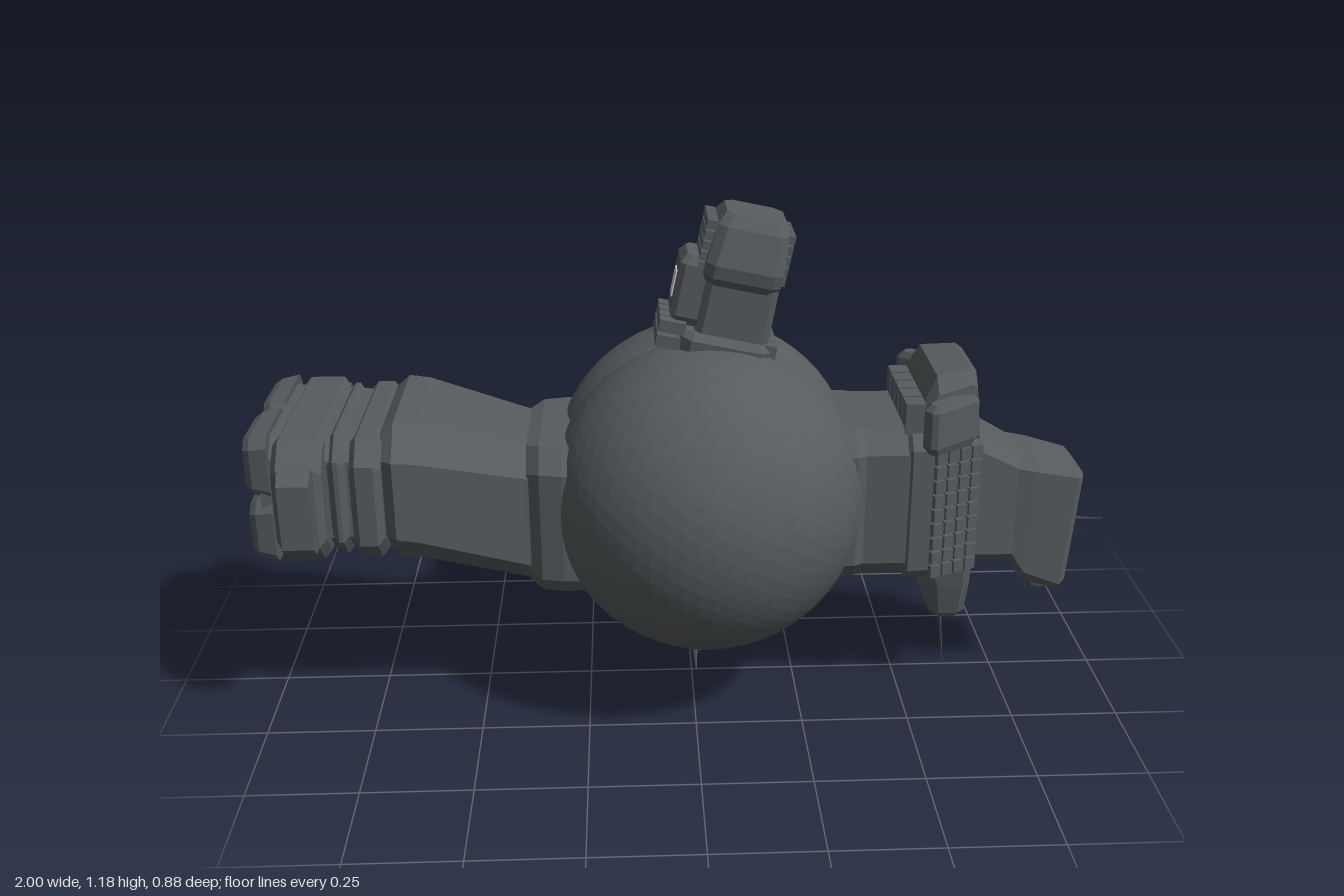
import * as THREE from 'three';

const paint = (color) => new THREE.MeshStandardMaterial({ color, flatShading: true, side: THREE.DoubleSide });
const hull = paint(0x565b5e), dark = paint(0x45494c), pale = paint(0xd0c8c8);

// Loft of chamfered rectangles. Row: [position, low, high, halfWidth, chamfer, shear].
// axis 'x' runs along x (low/high in y); axis 'y' runs upward (low/high in x).
function loft(axis, rows, z0 = 0) {
  const rings = rows.map(([p, lo, hi, w, c = 0.03, s = 0]) => {
    const pts = [[lo, -w + c], [lo + c, -w], [hi - c, -w], [hi, -w + c], [hi, w - c], [hi - c, w], [lo + c, w], [lo, w - c]];
    return pts.map(([a, b]) => {
      const q = p + s * (a - (lo + hi) / 2);
      return axis === 'x' ? [q, a, z0 + b] : [a, q, z0 + b];
    });
  });
  const out = [];
  const tri = (a, b, c) => (axis === 'x' ? out.push(...a, ...c, ...b) : out.push(...a, ...b, ...c));
  for (let i = 0; i < rings.length - 1; i++) {
    for (let j = 0; j < 8; j++) {
      const k = (j + 1) % 8, A = rings[i], B = rings[i + 1];
      tri(A[j], B[j], B[k]);
      tri(A[j], B[k], A[k]);
    }
  }
  const last = rings[rings.length - 1];
  for (let j = 1; j < 7; j++) {
    tri(rings[0][0], rings[0][j], rings[0][j + 1]);
    tri(last[0], last[j + 1], last[j]);
  }
  const g = new THREE.BufferGeometry();
  g.setAttribute('position', new THREE.Float32BufferAttribute(out, 3));
  g.computeVertexNormals();
  return g;
}

function add(parent, name, geometry, material = hull) {
  const m = new THREE.Mesh(geometry, material);
  m.name = name;
  parent.add(m);
  return m;
}

function box(parent, name, size, pos, material = hull) {
  const m = add(parent, name, new THREE.BoxGeometry(...size), material);
  m.position.set(...pos);
  return m;
}

// Thin tapering rod between two points
function spike(parent, name, from, to, r) {
  const a = new THREE.Vector3(...from), d = new THREE.Vector3(...to).sub(a);
  const m = add(parent, name, new THREE.CylinderGeometry(r * 0.2, r, d.length(), 6), dark);
  m.position.copy(a).addScaledVector(d, 0.5);
  m.quaternion.setFromUnitVectors(new THREE.Vector3(0, 1, 0), d.normalize());
}

// Raised tiles in a grid, facing local +z
function tiles(name, cols, rows, w, h, depth) {
  const g = new THREE.Group();
  g.name = name;
  for (let i = 0; i < cols; i++) for (let j = 0; j < rows; j++) {
    box(g, 'tile', [w / cols * 0.85, h / rows * 0.85, depth],
      [(i + 0.5) * w / cols - w / 2, (j + 0.5) * h / rows - h / 2, 0]);
  }
  return g;
}

export function createModel() {
  const model = new THREE.Group();
  model.name = 'spaceship';

  // Two overlapping balls with a faint seam between them
  for (const s of [-1, 1]) {
    const ball = add(model, 'mainSphere', new THREE.IcosahedronGeometry(0.361, 10));
    ball.position.set(0.033, 0.515, s * 0.08);
  }

  // Rear hull
  const rear = new THREE.Group();
  rear.name = 'rearHull';
  model.add(rear);
  add(rear, 'rearCollar', loft('x', [[-0.38, 0.32, 0.66, 0.17, 0.05], [-0.35, 0.31, 0.67, 0.2, 0.05],
    [-0.3, 0.31, 0.67, 0.212, 0.05], [-0.2, 0.31, 0.67, 0.21, 0.05]]));
  add(rear, 'rearBody', loft('x', [[-0.7, 0.43, 0.71, 0.2, 0.05], [-0.67, 0.41, 0.735, 0.228, 0.07], [-0.62, 0.4, 0.73, 0.222, 0.07],
    [-0.38, 0.325, 0.66, 0.175, 0.06], [-0.2, 0.33, 0.66, 0.17, 0.06]]));
  add(rear, 'engineBlock', loft('x', [[-0.965, 0.43, 0.715, 0.205, 0.04], [-0.68, 0.43, 0.7, 0.195, 0.05]]));
  for (const [x, w, hw, lo, hi] of [[-0.73, 0.07, 0.235, 0.42, 0.71], [-0.795, 0.04, 0.215, 0.42, 0.715], [-0.875, 0.11, 0.26, 0.43, 0.715]]) {
    add(rear, 'engineRib', loft('x', [[x - w / 2, lo + 0.015, hi - 0.015, hw - 0.015, 0.05],
      [x - w / 2 + 0.015, lo, hi, hw, 0.05], [x + w / 2 - 0.015, lo, hi, hw, 0.05], [x + w / 2, lo + 0.015, hi - 0.015, hw - 0.015, 0.05]]));
  }
  for (const s of [-1, 1]) {
    add(rear, 'sideNub', loft('x', [[-0.905, 0.48, 0.67, 0.035, 0.02], [-0.835, 0.48, 0.67, 0.035, 0.02]], s * 0.277));
  }
  add(rear, 'keelBox', loft('x', [[-0.9, 0.4, 0.46, 0.06, 0.012], [-0.84, 0.4, 0.46, 0.06, 0.012]]));
  // Four square exhausts with pale mouths
  for (const s of [-1, 1]) for (const t of [-1, 1]) {
    const y = 0.573 + t * 0.077;
    add(rear, 'exhaust', loft('x', [[-0.996, y - 0.06, y + 0.06, 0.085, 0.02], [-0.98, y - 0.07, y + 0.07, 0.1, 0.025],
      [-0.94, y - 0.077, y + 0.077, 0.108, 0.025]], s * 0.112));
    box(rear, 'exhaustMouth', [0.01, 0.07, 0.08], [-0.995, y, s * 0.112], pale);
  }

  // Forward neck and head
  const front = new THREE.Group();
  front.name = 'forwardHull';
  model.add(front);
  add(front, 'forwardNeck', loft('x', [[0.25, 0.32, 0.69, 0.18, 0.05], [0.37, 0.32, 0.69, 0.18, 0.05], [0.39, 0.32, 0.69, 0.17, 0.05],
    [0.54, 0.32, 0.69, 0.17, 0.05]]));
  add(front, 'headBase', loft('x', [[0.48, 0.34, 0.67, 0.16, 0.03], [0.495, 0.32, 0.68, 0.175, 0.03],
    [0.545, 0.32, 0.68, 0.17, 0.03], [0.66, 0.32, 0.66, 0.115, 0.03], [0.69, 0.34, 0.64, 0.095, 0.03]]));
  for (const s of [-1, 1]) {
    const panel = tiles('flankPanel', 4, 9, 0.13, 0.32, 0.02);
    panel.position.set(0.602, 0.49, s * 0.146);
    panel.rotation.y = s > 0 ? 0.43 : Math.PI - 0.43;
    front.add(panel);
  }
  add(front, 'snout', loft('x', [[0.64, 0.33, 0.665, 0.115, 0.03], [0.76, 0.32, 0.6, 0.095, 0.03], [0.8, 0.27, 0.59, 0.095, 0.03, 0.06],
    [0.895, 0.24, 0.56, 0.085, 0.02, 0.08], [0.91, 0.26, 0.545, 0.07, 0.01, 0.08]]));
  add(front, 'brow', loft('x', [[0.525, 0.66, 0.76, 0.155, 0.03], [0.55, 0.65, 0.81, 0.148, 0.035],
    [0.63, 0.64, 0.82, 0.12, 0.03], [0.645, 0.64, 0.81, 0.11, 0.03], [0.66, 0.62, 0.69, 0.1, 0.03]]));
  // Swept plates at the brow's sides, following the flanks
  for (const s of [-1, 1]) {
    const ear = add(front, 'browEar', loft('y', [[0.65, -0.055, 0.065, 0.015, 0.008], [0.67, -0.07, 0.08, 0.022, 0.01],
      [0.755, -0.07, 0.08, 0.022, 0.01], [0.77, -0.055, 0.065, 0.015, 0.008]]));
    ear.position.set(0.575, 0, s * 0.16);
    ear.rotation.y = s * 0.62;
  }
  for (let i = 0; i < 5; i++) box(front, 'browRearTile', [0.05, 0.08, 0.048], [0.505, 0.71, (i - 2) * 0.055]);
  add(front, 'chin', loft('y', [[0.18, 0.585, 0.65, 0.085, 0.02], [0.2, 0.57, 0.655, 0.105, 0.02], [0.28, 0.56, 0.66, 0.122, 0.02],
    [0.34, 0.54, 0.66, 0.13, 0.02]]));
  spike(front, 'chinAntenna', [0.612, 0.19, 0], [0.632, 0, 0], 0.006);
  spike(front, 'noseAntenna', [0.89, 0.4, 0], [1, 0.395, 0], 0.006);
  for (let i = 0; i < 3; i++) spike(front, 'snoutBarb', [0.82 + i * 0.03, 0.26, 0], [0.825 + i * 0.03, 0.21 + i * 0.012, 0], 0.008);
  const lamp = add(front, 'snoutLamp', new THREE.CylinderGeometry(0.03, 0.035, 0.03, 10), dark);
  lamp.position.set(0.85, 0.245, 0);

  // Leaning top tower
  const tower = new THREE.Group();
  tower.name = 'topTower';
  tower.position.set(0.075, 0.86, 0);
  tower.rotation.z = -0.21;
  model.add(tower);
  add(tower, 'towerColumn', loft('y', [[-0.05, -0.08, 0.09, 0.083, 0.015], [0.2, -0.08, 0.085, 0.083, 0.015]]));
  add(tower, 'towerFoot', loft('y', [[-0.05, -0.11, 0.1, 0.1, 0.025], [0.02, -0.11, 0.1, 0.105, 0.025], [0.035, -0.1, 0.09, 0.09, 0.02]]));
  add(tower, 'towerHead', loft('y', [[0.15, -0.08, 0.075, 0.085, 0.02], [0.17, -0.09, 0.085, 0.105, 0.02], [0.2, -0.09, 0.085, 0.11, 0.02],
    [0.285, -0.08, 0.08, 0.09, 0.02], [0.312, -0.065, 0.07, 0.07, 0.02]]));
  add(tower, 'rearCabin', loft('y', [[0.04, -0.13, -0.04, 0.055, 0.012], [0.06, -0.142, -0.04, 0.068, 0.012],
    [0.18, -0.142, -0.04, 0.068, 0.012], [0.2, -0.13, -0.04, 0.055, 0.012]]));
  box(tower, 'cabinWindow', [0.006, 0.06, 0.05], [-0.142, 0.12, 0], pale);
  for (const s of [-1, 1]) {
    const panel = tiles('towerPanel', 5, 5, 0.14, 0.12, 0.024);
    panel.position.set(s > 0 ? 0.083 : -0.092, 0.23, 0);
    panel.rotation.y = s * Math.PI / 2;
    tower.add(panel);
  }
  for (let i = 0; i < 4; i++) {
    box(tower, 'footTile', [0.03, 0.032, 0.038], [0.095, 0.02, (i - 1.5) * 0.043]);
    for (const y of [0, 0.035]) box(tower, 'rearStep', [0.06, 0.028, 0.036], [-0.132, y, (i - 1.5) * 0.043]);
  }

  // Round hatch under the balls
  const hatch = add(model, 'bellyHatch', new THREE.LatheGeometry([[0, 0.115], [0.03, 0.115], [0.035, 0.1], [0.05, 0.1], [0.055, 0.112],
    [0.065, 0.098], [0.082, 0.1], [0.088, 0.114], [0.115, 0.125], [0.142, 0.16], [0.142, 0.19]].map(p => new THREE.Vector2(...p)), 18));
  hatch.position.x = 0.015;
  hatch.scale.x = 0.85;
  for (const s of [-1, 1]) spike(model, 'bellySpike', [0, 0.172, s * 0.17], [0, 0.147, s * 0.247], 0.008);
  return model;
}
